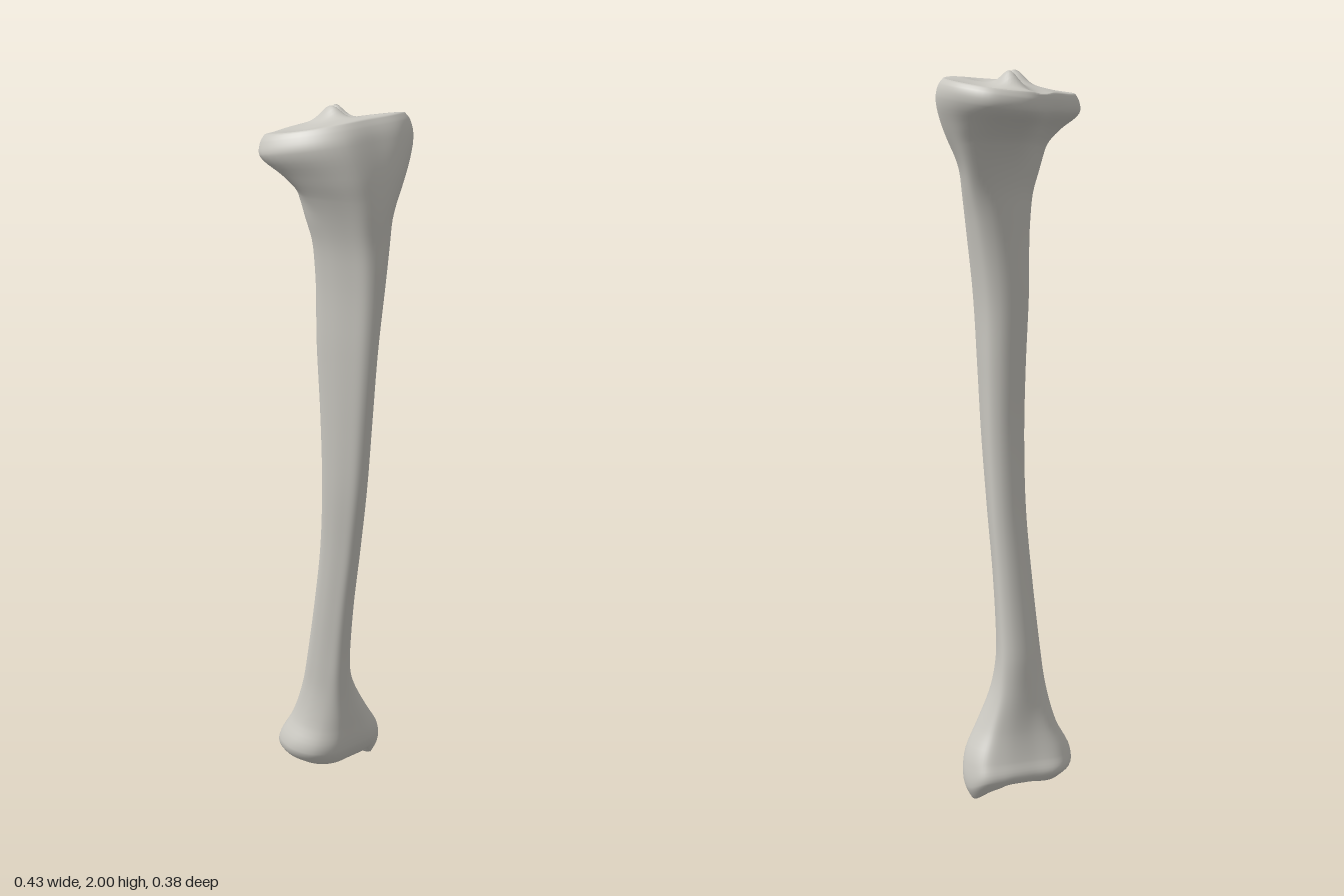
import * as THREE from 'three';

const smooth = (x, a, b) => THREE.MathUtils.smoothstep(x, a, b);
const bump = (x, z, cx, cz, rx, rz = rx) => Math.exp(-(((x - cx) / rx) ** 2) - ((z - cz) / rz) ** 2);

// Extents up the bone: y, xMin, xMax, zBack, zFront
const LEVELS = [
  [0.055, -0.09, 0.15, -0.155, 0.035],
  [0.08, -0.12, 0.168, -0.175, 0.052],
  [0.12, -0.135, 0.155, -0.165, 0.065],
  [0.2, -0.102, 0.115, -0.135, 0.062],
  [0.3, -0.082, 0.08, -0.112, 0.054],
  [0.4, -0.077, 0.065, -0.095, 0.055],
  [0.6, -0.075, 0.05, -0.06, 0.075],
  [0.8, -0.077, 0.044, -0.032, 0.105],
  [1.0, -0.085, 0.041, -0.02, 0.135],
  [1.2, -0.09, 0.043, -0.025, 0.155],
  [1.4, -0.095, 0.052, -0.038, 0.172],
  [1.6, -0.1, 0.088, -0.045, 0.184],
  [1.7, -0.113, 0.12, -0.055, 0.186],
  [1.8, -0.148, 0.163, -0.095, 0.188],
  [1.85, -0.18, 0.188, -0.137, 0.182],
  [1.91, -0.217, 0.215, -0.185, 0.16],
  [1.945, -0.208, 0.214, -0.187, 0.143],
  [1.965, -0.193, 0.2, -0.175, 0.128],
];

// Outlines scaled to a unit box, from the front round through +x
const outline = (pts) => new THREE.CatmullRomCurve3(
  pts.map(([x, z]) => new THREE.Vector3(x, 0, z)), true);
const SHAFT = outline([[-0.33, 1], [0.1, 0.83], [0.5, 0.4], [0.85, -0.05], [1, -0.45], [0.75, -0.8],
  [0.15, -1], [-0.5, -0.85], [-0.95, -0.5], [-1, 0], [-0.87, 0.5], [-0.68, 0.86]]);
const PLATEAU = outline([[-0.1, 0.97], [0.3, 1], [0.7, 0.75], [0.93, 0.35], [1, -0.2], [0.85, -0.75],
  [0.42, -1], [-0.1, -0.78], [-0.5, -0.64], [-0.95, -0.33], [-0.88, 0.4], [-0.55, 0.87]]);
const ANKLE = outline([[-0.1, 0.9], [0.45, 0.97], [0.85, 0.75], [1, 0.3], [0.95, -0.15], [0.65, -0.45],
  [0.1, -0.75], [-0.4, -1], [-0.8, -0.85], [-1, -0.2], [-0.85, 0.45], [-0.5, 0.8]]);

const SIDES = 72;
const CAP = 18;

function boneGeometry() {
  const spline = new THREE.CubicInterpolant(LEVELS.map((l) => l[0]), LEVELS.flatMap((l) => l.slice(1)), 4);
  const yMin = LEVELS[0][0];
  const yMax = LEVELS[LEVELS.length - 1][0];
  const loops = [SHAFT, PLATEAU, ANKLE].map((c) =>
    Array.from({ length: SIDES }, (_, j) => c.getPoint(j / SIDES)));

  // Ring list: lower joint surface, sides, upper joint surface
  const rings = [];
  for (let i = 0; i < CAP; i++) rings.push([yMin, i / CAP]);
  for (let k = 0; k < LEVELS.length - 1; k++) {
    const a = LEVELS[k][0], b = LEVELS[k + 1][0];
    const steps = b - a > 0.15 ? 8 : 5;
    for (let s = 0; s < steps; s++) rings.push([a + ((b - a) * s) / steps, 1]);
  }
  for (let i = CAP; i >= 0; i--) rings.push([yMax, i / CAP]);

  const positions = [];
  for (const [y, scale] of rings) {
    const [x0, x1, z0, z1] = spline.evaluate(y);
    const top = smooth(y, 1.72, 1.92);
    const low = 1 - smooth(y, 0.12, 0.42);
    for (let j = 0; j < SIDES; j++) {
      const p = loops[0][j].clone().lerp(loops[1][j], top).lerp(loops[2][j], low);
      const x = (x0 + x1) / 2 + (p.x * scale * (x1 - x0)) / 2;
      const z = (z0 + z1) / 2 + (p.z * scale * (z1 - z0)) / 2;
      let h = y;
      // Inner ankle knob hangs below a hollow joint surface
      const nearFoot = 1 - smooth(y, 0.05, 0.13);
      h -= 0.05 * nearFoot * smooth(x, 0.085, 0.122) * bump(0, z, 0, -0.015, 1, 0.06);
      if (y === yMin) h += 0.016 * bump(x, z, 0.05, -0.05, 0.06, 0.07);
      // Plateau slopes down to the back
      h += 0.2 * z * smooth(y, 1.8, 1.93);
      // Two shallow dishes with a pair of spines between
      if (y === yMax) {
        h += 0.008 * (1 - scale ** 4);
        h -= 0.02 * bump(x, z, 0.135, -0.04, 0.06, 0.09) + 0.012 * bump(x, z, -0.12, -0.01, 0.06, 0.08);
        h += 0.036 * bump(x, z, 0.055, -0.065, 0.022, 0.035) + 0.034 * bump(x, z, -0.015, -0.015, 0.025, 0.04);
        h -= 0.012 * bump(x, z, 0.04, 0.05, 0.04);
        h -= 0.015 * bump(x, z, 0.02, -0.14, 0.035);
      }
      positions.push(x, h, z);
    }
  }

  const index = [];
  for (let i = 0; i < rings.length - 1; i++) {
    for (let j = 0; j < SIDES; j++) {
      const k = (j + 1) % SIDES;
      const a = i * SIDES + j, b = i * SIDES + k, c = b + SIDES, d = a + SIDES;
      if (i > 0) index.push(a, b, c);
      else index.push(a, c, d);
      if (i > 0 && i < rings.length - 2) index.push(a, c, d);
    }
  }
  const geometry = new THREE.BufferGeometry();
  geometry.setAttribute('position', new THREE.Float32BufferAttribute(positions, 3));
  geometry.setIndex(index);
  geometry.computeVertexNormals();
  return geometry;
}

export function createModel() {
  const group = new THREE.Group();
  group.name = 'shinBone';
  const bone = new THREE.MeshStandardMaterial({ color: 0xc9c7c0 });
  bone.name = 'bone grey';
  const mesh = new THREE.Mesh(boneGeometry(), bone);
  mesh.name = 'bone';
  group.add(mesh);
  return group;
}
